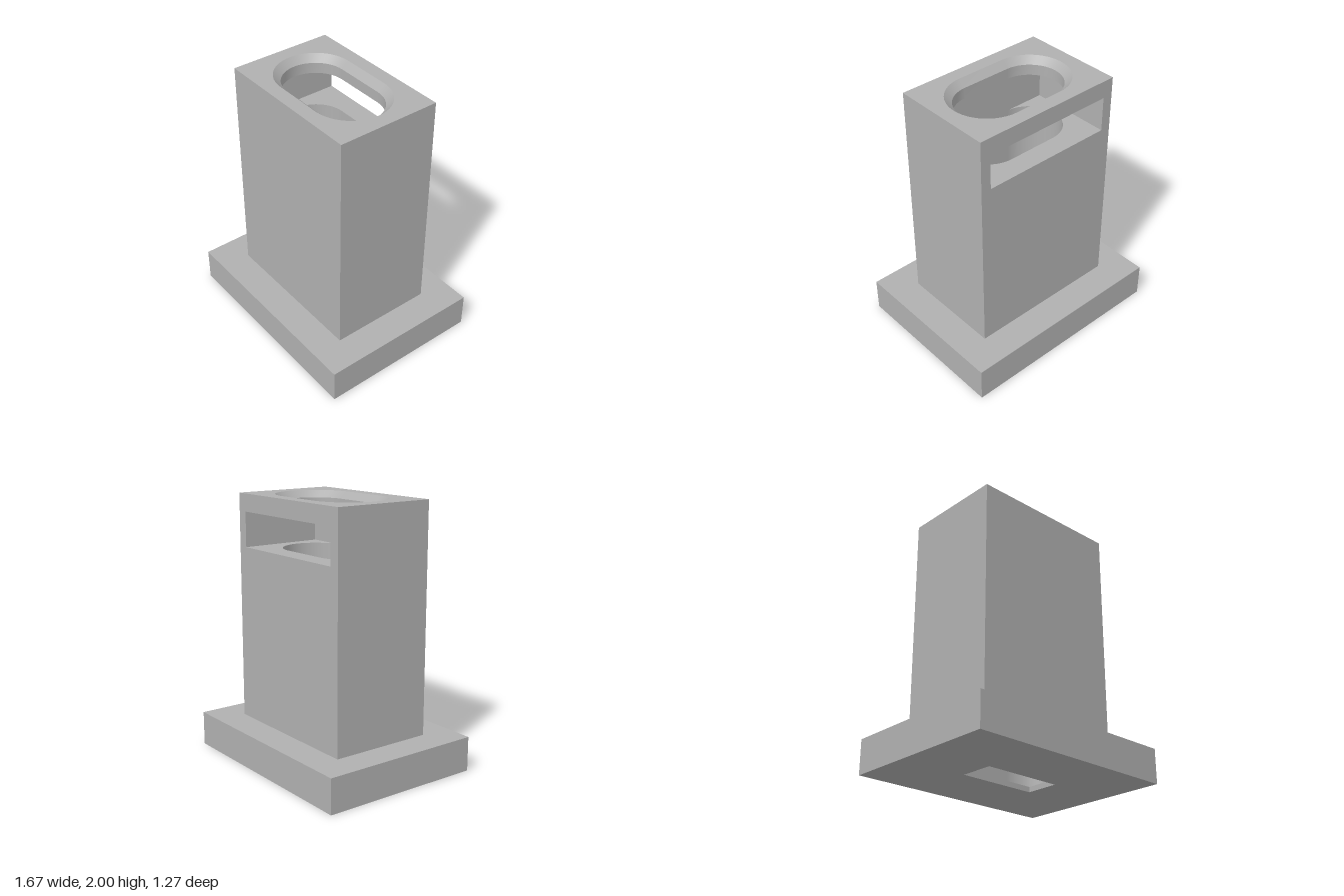
import * as THREE from 'three';

const BASE_H = 0.263, FLOOR = 0.04, TOP = 2;
const SLOT_LOW = 1.6, SLOT_HIGH = 1.866, SLOT_X = 0.52, BEVEL_Y = 1.948;
const FLAT = 0.195, R = 0.24, R_RIM = 0.2925;

// Plan outlines are counterclockwise from above, as (x, -z)
const rect = (x, d) => [[-x, -d], [x, -d], [x, d], [-x, d]].map(p => new THREE.Vector2(...p));

function stadium(r, steps = 24) {
  const pts = [];
  for (const side of [1, -1]) {
    for (let i = 0; i <= steps; i++) {
      const a = -Math.PI / 2 + Math.PI * i / steps;
      pts.push(new THREE.Vector2(side * (FLAT + r * Math.cos(a)), side * r * Math.sin(a)));
    }
  }
  return pts;
}

// Wall between two matching outlines; reversed outlines face inward
function wall(low, y0, high, y1, { closed = true, smooth = false, inward = false } = {}) {
  const a = inward ? [...low].reverse() : low;
  const b = inward ? [...high].reverse() : high;
  const n = a.length, pos = [], index = [];
  for (let i = 0; i < n; i++) pos.push(a[i].x, y0, -a[i].y, b[i].x, y1, -b[i].y);
  for (let i = 0; i < (closed ? n : n - 1); i++) {
    const p = 2 * i, q = 2 * ((i + 1) % n);
    index.push(p, q, q + 1, p, q + 1, p + 1);
  }
  let geo = new THREE.BufferGeometry();
  geo.setAttribute('position', new THREE.Float32BufferAttribute(pos, 3));
  geo.setIndex(index);
  if (!smooth) geo = geo.toNonIndexed();
  geo.computeVertexNormals();
  return geo;
}

// Flat horizontal face with an optional hole
function cap(outline, hole, y, down = false) {
  const shape = new THREE.Shape(outline);
  if (hole) shape.holes.push(new THREE.Path(hole));
  const geo = new THREE.ShapeGeometry(shape).rotateX(-Math.PI / 2).translate(0, y, 0);
  if (down) {
    geo.index.array.reverse();
    geo.computeVertexNormals();
  }
  return geo;
}

export function createModel() {
  const model = new THREE.Group();
  model.name = 'slottedPedestal';
  const grey = new THREE.MeshStandardMaterial({ color: 0xb0b0b0 });
  grey.name = 'grey';

  const part = (name, pieces) => {
    const group = new THREE.Group();
    group.name = name;
    for (const [pieceName, geo] of Object.entries(pieces)) {
      const mesh = new THREE.Mesh(geo, grey);
      mesh.name = pieceName;
      group.add(mesh);
    }
    model.add(group);
  };

  const base = rect(0.835, 0.635), body = rect(0.6, 0.4), drain = rect(0.3125, 0.13);
  const bore = stadium(R), rim = stadium(R_RIM);
  const bodySides = [body[3], body[0], body[1], body[2]];
  const slotSides = [[-SLOT_X, 0.4], [-SLOT_X, -R], [SLOT_X, -R], [SLOT_X, 0.4]]
    .map(p => new THREE.Vector2(...p));
  // Slot plan, cut away where the bore passes through
  const slotPlan = [slotSides[0], slotSides[1], ...[...bore].reverse(), slotSides[2], slotSides[3]];

  // Back face with the slot window
  const back = new THREE.Shape([[-0.6, BASE_H], [0.6, BASE_H], [0.6, TOP], [-0.6, TOP]]
    .map(p => new THREE.Vector2(...p)));
  back.holes.push(new THREE.Path([[-SLOT_X, SLOT_LOW], [SLOT_X, SLOT_LOW], [SLOT_X, SLOT_HIGH], [-SLOT_X, SLOT_HIGH]]
    .map(p => new THREE.Vector2(...p))));

  part('base', {
    baseSides: wall(base, 0, base, BASE_H),
    baseLedge: cap(base, body, BASE_H),
    baseUnderside: cap(base, drain, 0, true),
    bottomHole: wall(drain, 0, drain, FLOOR, { inward: true }),
  });
  part('body', {
    bodySides: wall(bodySides, BASE_H, bodySides, TOP, { closed: false }),
    bodyBack: new THREE.ShapeGeometry(back).rotateY(Math.PI).translate(0, 0, -0.4),
    bodyTop: cap(body, rim, TOP),
  });
  part('bore', {
    boreFloor: cap(bore, drain, FLOOR),
    boreWall: wall(bore, FLOOR, bore, SLOT_LOW, { smooth: true, inward: true }),
    boreNeck: wall(bore, SLOT_HIGH, bore, BEVEL_Y, { smooth: true, inward: true }),
    rimBevel: wall(bore, BEVEL_Y, rim, TOP, { smooth: true, inward: true }),
  });
  part('slot', {
    slotFloor: cap(slotPlan, null, SLOT_LOW),
    slotCeiling: cap(slotPlan, null, SLOT_HIGH, true),
    slotWalls: wall(slotSides, SLOT_LOW, slotSides, SLOT_HIGH, { closed: false, inward: true }),
  });
  return model;
}
